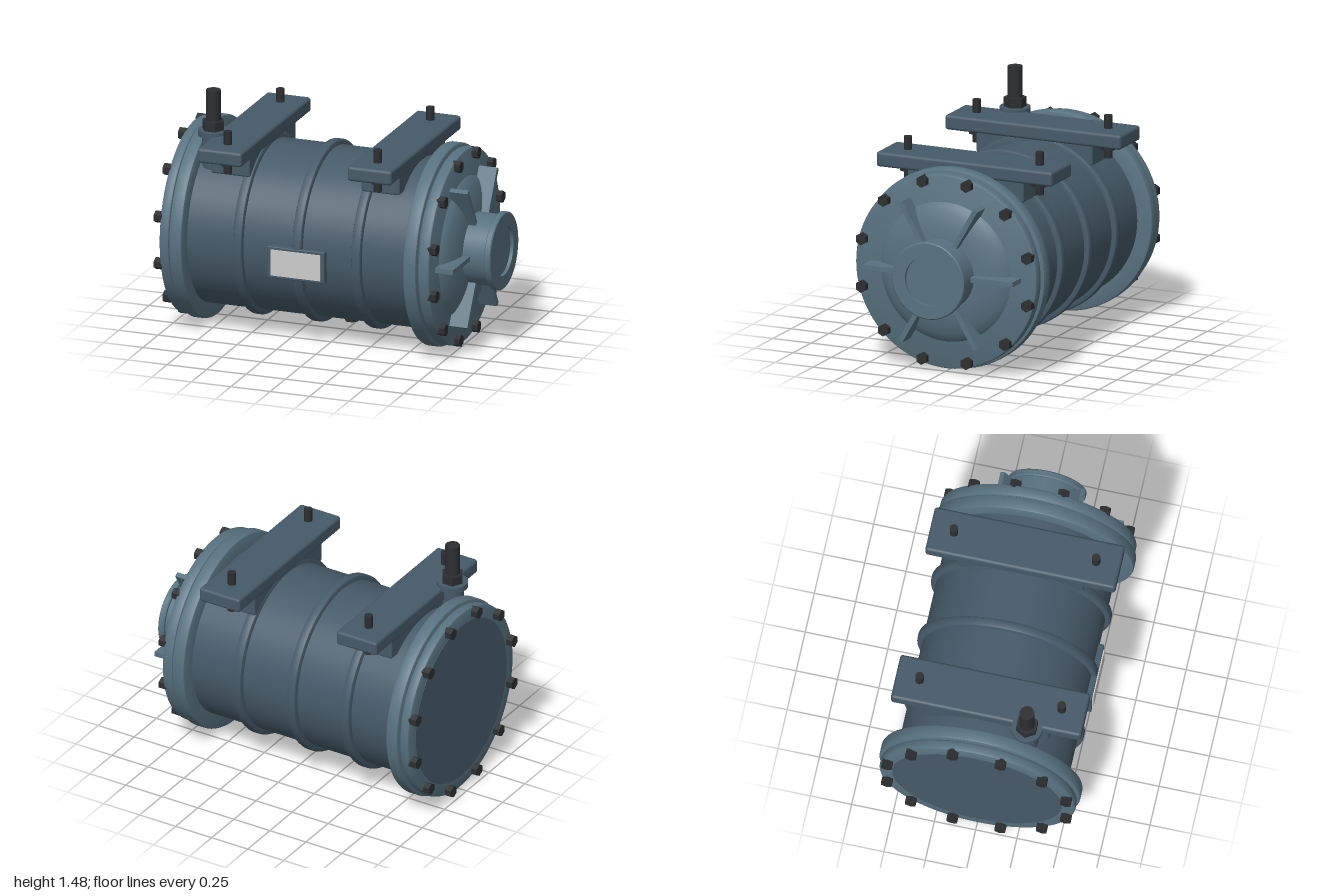
import * as THREE from 'three';
import { toCreasedNormals } from 'three/addons/utils/BufferGeometryUtils.js';
import { RoundedBoxGeometry } from 'three/addons/geometries/RoundedBoxGeometry.js';

const AXIS_Y = 0.61;
const paint = (color) => new THREE.MeshStandardMaterial({ color });

export function createModel() {
  const model = new THREE.Group();
  const bodyMat = paint(0x465a68);
  const flangeMat = paint(0x587280);
  const boltMat = paint(0x2c2e30);
  const plateMat = paint(0xcccccc);

  const add = (parent, name, geometry, material, x = 0, y = 0, z = 0) => {
    const mesh = new THREE.Mesh(geometry, material);
    mesh.name = name;
    mesh.position.set(x, y, z);
    parent.add(mesh);
    return mesh;
  };
  // Turned part: [x, radius] pairs revolved about the long axis, running toward +x
  const turned = (name, profile, material) => {
    const g = new THREE.LatheGeometry(profile.map(([x, r]) => new THREE.Vector2(r, x)), 80);
    g.rotateZ(-Math.PI / 2);
    return add(model, name, toCreasedNormals(g, 0.5), material, 0, AXIS_Y, 0);
  };
  // Bevelled disc or band
  const band = (name, x0, x1, r, inner, bevel, material) =>
    turned(name, [[x0, inner], [x0, r - bevel], [x0 + bevel * 0.3, r - bevel * 0.3], [x0 + bevel, r],
      [x1 - bevel, r], [x1 - bevel * 0.3, r - bevel * 0.3], [x1, r - bevel], [x1, inner]], material);
  const rod = (r, h, sides = 24) => new THREE.CylinderGeometry(r, r, h, sides);

  // Cylindrical shell and its raised hoops
  turned('shell', [[-0.963, 0], [-0.963, 0.512], [0.7, 0.512]], bodyMat);
  for (const x of [-0.485, -0.11, 0.265]) band('hoop', x - 0.03, x + 0.03, 0.545, 0.5, 0.014, bodyMat);

  // Paired flanges at both ends
  band('leftOuterFlange', -0.96, -0.898, 0.593, 0.5, 0.014, flangeMat);
  band('leftInnerFlange', -0.892, -0.812, 0.608, 0.5, 0.012, flangeMat);
  band('leftGasket', -0.91, -0.88, 0.575, 0.5, 0.005, bodyMat);
  band('rightInnerFlange', 0.59, 0.672, 0.608, 0.5, 0.012, flangeMat);
  band('rightGasket', 0.66, 0.69, 0.575, 0.5, 0.005, bodyMat);
  band('endCover', 0.68, 0.75, 0.593, 0, 0.014, flangeMat);

  // Domed cover centre with a flanged outlet neck
  turned('coverDome', [[0.75, 0.425], [0.768, 0.405], [0.785, 0.37], [0.802, 0.32], [0.815, 0.26], [0.82, 0.2]], flangeMat);
  turned('outletNeck', [[0.78, 0.215], [0.96, 0.215], [0.96, 0.229], [0.966, 0.235], [0.994, 0.235],
    [1, 0.229], [1, 0.15], [0.98, 0.15], [0.98, 0]], flangeMat);

  // Radial stiffening ribs on the cover
  for (let i = 0; i < 6; i++) {
    const rib = new THREE.Group();
    rib.name = 'coverRib';
    rib.position.y = AXIS_Y;
    rib.rotation.x = i * Math.PI / 3;
    add(rib, 'rib', new THREE.BoxGeometry(0.125, 0.03, 0.29), flangeMat, 0.8025, 0, 0.345);
    model.add(rib);
  }

  // Circle of hex bolts on each end
  for (const [name, x] of [['leftFlangeBolt', -0.975], ['rightFlangeBolt', 0.76]]) {
    for (let i = 0; i < 12; i++) {
      const a = (i + 0.5) * Math.PI / 6;
      const g = rod(0.037, 0.05, 6).toNonIndexed();
      g.computeVertexNormals();
      // Turn the hexagon so a corner points up
      g.rotateY(Math.PI / 2).rotateZ(-Math.PI / 2);
      add(model, name, g, boltMat, x, AXIS_Y + 0.56 * Math.cos(a), 0.56 * Math.sin(a));
    }
  }

  // Mounting bars on saddles, with a stud and nut at each end
  for (const x of [-0.585, 0.365]) {
    const mount = new THREE.Group();
    mount.name = 'mount';
    mount.position.x = x;
    add(mount, 'mountingBar', new RoundedBoxGeometry(0.28, 0.09, 1.15, 3, 0.018), bodyMat, 0, 1.175, 0);
    add(mount, 'saddle', new RoundedBoxGeometry(0.245, 0.15, 0.76, 2, 0.012), bodyMat, -0.005, 1.083, 0);
    for (const z of [-0.43, 0.43]) {
      add(mount, 'stud', rod(0.025, 0.26), boltMat, 0, 1.17, z);
      const nut = add(mount, 'nut', toCreasedNormals(rod(0.047, 0.045, 6), 0.3), boltMat, 0, 1.113, z);
      nut.rotation.y = Math.PI / 2;
    }
    model.add(mount);
  }

  // Filler port with a threaded-style stem
  const port = new THREE.Group();
  port.name = 'fillerPort';
  port.position.set(-0.745, 0, 0.255);
  add(port, 'portBoss', rod(0.068, 0.24, 32), bodyMat, 0, 1.1, 0);
  add(port, 'portCollar', rod(0.092, 0.035, 32), bodyMat, 0, 1.222, 0);
  add(port, 'portNut', toCreasedNormals(rod(0.068, 0.06, 6), 0.3), boltMat, 0, 1.267, 0).rotation.y = Math.PI / 6;
  add(port, 'portStem', rod(0.044, 0.2, 24), boltMat, 0, 1.386, 0);
  model.add(port);

  // Blank data plate on the front
  add(model, 'plateFrame', new RoundedBoxGeometry(0.365, 0.195, 0.045, 2, 0.006), bodyMat, -0.112, 0.557, 0.522);
  add(model, 'plate', new THREE.BoxGeometry(0.315, 0.16, 0.02), plateMat, -0.112, 0.557, 0.542);

  // Drain plug underneath
  add(model, 'drainPlug', toCreasedNormals(rod(0.042, 0.06, 6), 0.3), boltMat, 0.033, 0.093, 0).rotation.y = Math.PI / 2;

  return model;
}
